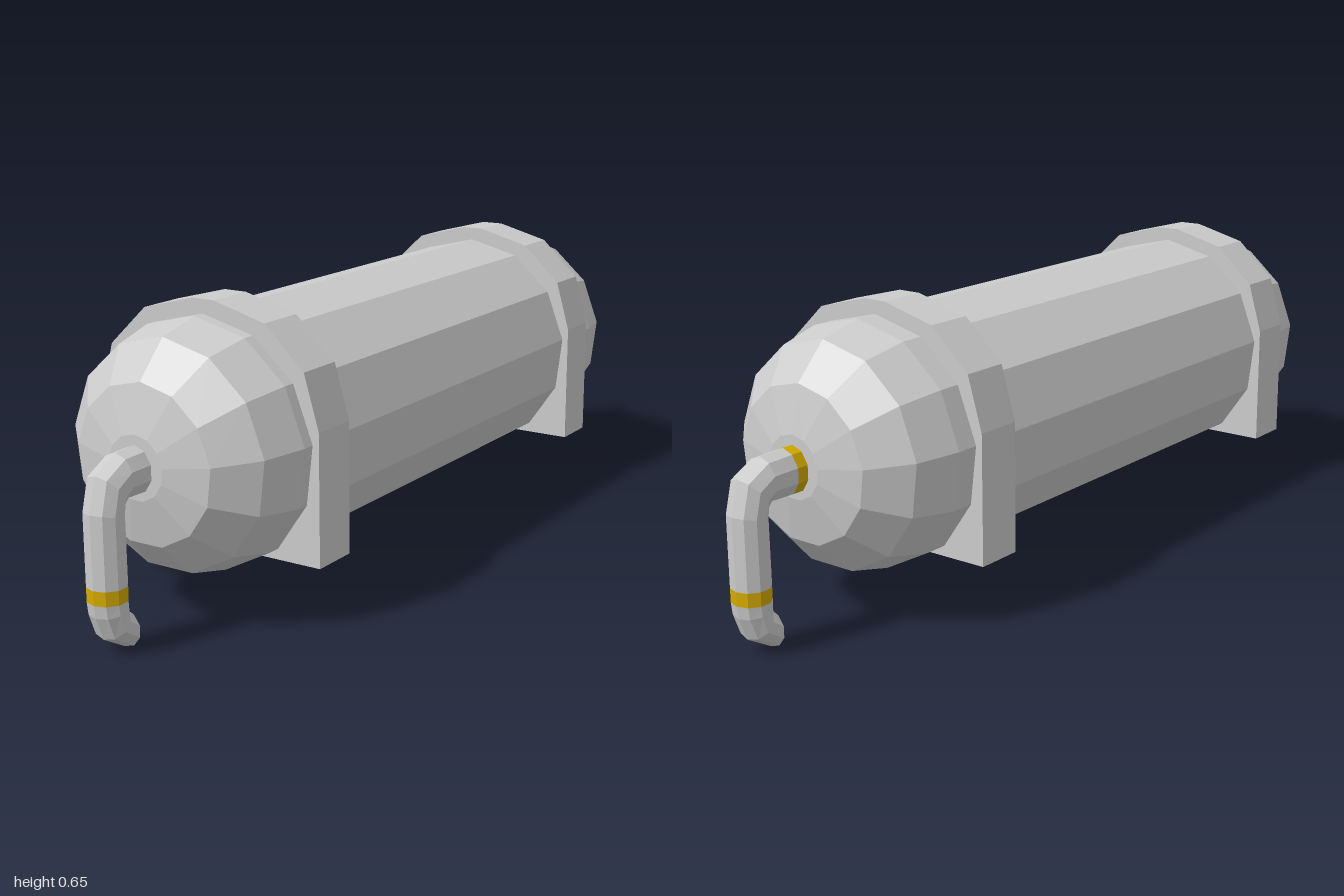
import * as THREE from 'three';

const grey = new THREE.MeshStandardMaterial({ color: 0xcccccc, flatShading: true });
const greyPipe = new THREE.MeshStandardMaterial({ color: 0xcccccc, flatShading: true, side: THREE.DoubleSide });
const yellowPipe = new THREE.MeshStandardMaterial({ color: 0xd4aa00, flatShading: true, side: THREE.DoubleSide });

function add(parent, name, geometry, material) {
  const mesh = new THREE.Mesh(geometry, material);
  mesh.name = name;
  parent.add(mesh);
  return mesh;
}

// Tube skinned through oval rings; each ring is [outer z, outer y, inner z, inner y]
function pipeGeometry(rings, halfWidth = 0.042, sides = 10) {
  const pos = [], index = [];
  for (const [oz, oy, iz, iy] of rings) {
    for (let j = 0; j < sides; j++) {
      const t = (j / sides) * Math.PI * 2, c = Math.cos(t) / 2;
      pos.push(halfWidth * Math.sin(t), (oy + iy) / 2 + c * (oy - iy), (oz + iz) / 2 + c * (oz - iz));
    }
  }
  for (let i = 0; i < rings.length - 1; i++) {
    for (let j = 0; j < sides; j++) {
      const k = (j + 1) % sides;
      const a = i * sides + j, b = i * sides + k, c = a + sides, d = b + sides;
      index.push(a, c, b, b, c, d);
    }
  }
  const g = new THREE.BufferGeometry();
  g.setAttribute('position', new THREE.Float32BufferAttribute(pos, 3));
  g.setIndex(index);
  g.computeVertexNormals();
  return g;
}

// Elbow pipe leaving the tank, turning down and hooking back to an open mouth
function makePipe(name, startZ) {
  const pipe = new THREE.Group();
  pipe.name = name;
  const collarTop = [0.999, 0.143, 0.919, 0.143];
  const collarBottom = [0.999, 0.113, 0.919, 0.113];
  add(pipe, 'elbow', pipeGeometry([
    [startZ, 0.4, startZ, 0.3],
    [0.92, 0.398, 0.915, 0.302],
    [0.98, 0.367, 0.918, 0.295],
    [0.999, 0.295, 0.92, 0.28],
    collarTop,
  ]), greyPipe);
  add(pipe, 'pipeBand', pipeGeometry([collarTop, collarBottom]), yellowPipe);
  add(pipe, 'outlet', pipeGeometry([
    collarBottom,
    [0.995, 0.085, 0.92, 0.1],
    [0.975, 0.035, 0.922, 0.088],
    [0.916, 0.0, 0.914, 0.08],
  ]), greyPipe);
  return pipe;
}

export function createModel() {
  const model = new THREE.Group();
  model.name = 'gasTank';

  // Thirteen-sided tank with domed ends
  const profile = [
    [0, -0.865], [0.068, -0.865], [0.168, -0.842], [0.243, -0.77], [0.267, -0.67],
    [0.267, 0.637], [0.243, 0.737], [0.168, 0.81], [0.068, 0.832], [0, 0.832],
  ].map(([r, y]) => new THREE.Vector2(r, y));
  const tank = new THREE.LatheGeometry(profile, 13);
  tank.rotateX(-Math.PI / 2);
  add(model, 'tank', tank, grey).position.y = 0.353;

  // Two saddle straps with flat feet
  const half = [[0.28, 0.13], [0.28, 0.413], [0.246, 0.53], [0.153, 0.617], [0.027, 0.65]];
  const outline = [...half, ...half.map(([x, y]) => [-x, y]).reverse()];
  const strapShape = new THREE.Shape(outline.map(([x, y]) => new THREE.Vector2(x, y)));
  for (const [name, z] of [['frontStrap', 0.535], ['backStrap', -0.585]]) {
    const strap = new THREE.ExtrudeGeometry(strapShape, { depth: 0.108, bevelEnabled: false });
    add(model, name, strap, grey).position.z = z;
  }

  // Pipes at both ends; the back one has an extra band at the tank
  model.add(makePipe('frontPipe', 0.85));
  const backPipe = makePipe('backPipe', 0.858);
  add(backPipe, 'tankBand', pipeGeometry([[0.825, 0.4, 0.825, 0.3], [0.858, 0.4, 0.858, 0.3]]), yellowPipe);
  backPipe.rotation.y = Math.PI;
  model.add(backPipe);

  return model;
}
